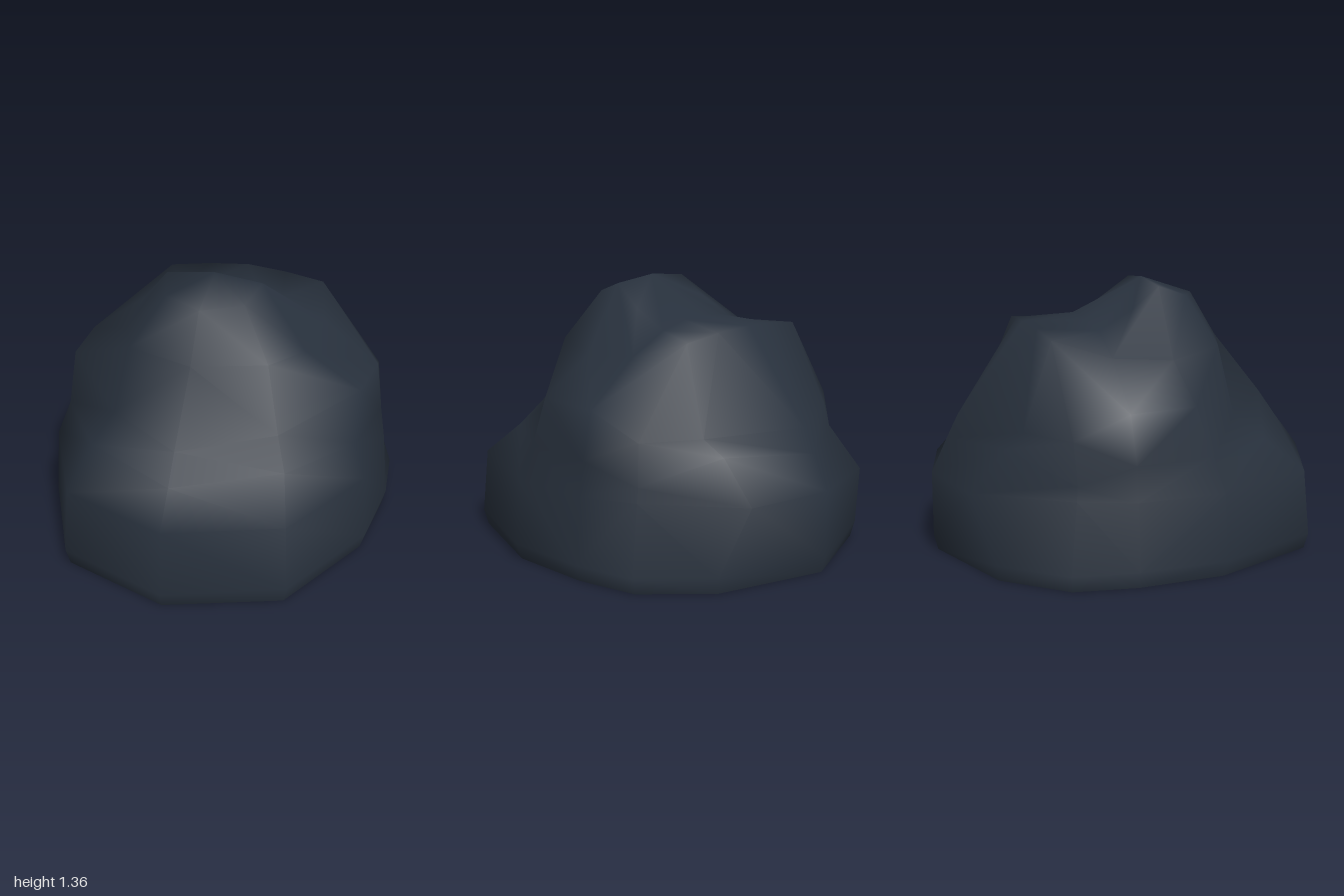
import * as THREE from 'three';

// Half cross-sections from the nose (+z) round to the back (-z): [x, y, z]; mirrored in x
const level = (y, pts) => pts.map(([x, z]) => [x, y, z]);
const foot = [
  level(0, [[0, 1.01], [0.55, 0.81], [0.815, 0.26], [0.85, -0.18], [0.81, -0.495], [0.55, -0.785], [0, -0.98]]),
  level(0.08, [[0, 1.04], [0.567, 0.825], [0.84, 0.27], [0.87, -0.18], [0.835, -0.505], [0.57, -0.8], [0, -1]]),
  level(0.41, [[0, 1.01], [0.55, 0.8], [0.82, 0.26], [0.84, -0.18], [0.74, -0.45], [0.45, -0.895], [0, -1]]),
];
const waist = [
  [[0, 0.58, 0.88], [0.49, 0.58, 0.6], [0.76, 0.58, 0.22], [0.815, 0.58, -0.18],
    [0.72, 0.48, -0.44], [0.43, 0.61, -0.715], [0, 0.58, -0.92]],
  [[0, 0.72, 0.78], [0.42, 0.7, 0.46], [0.755, 0.83, 0.13], [0.78, 0.82, -0.2],
    [0.745, 0.7, -0.465], [0.49, 0.7, -0.64], [0, 0.7, -0.86]],
];
const crown = [
  [[0, 1.04, 0.52], [0.35, 1.04, 0.4], [0.47, 1.0, 0.12], [0.49, 1.03, -0.2],
    [0.42, 1.12, -0.48], [0.21, 1.145, -0.5], [0, 1.155, -0.52]],
  [[0, 1.27, 0.38], [0.2, 1.28, 0.28], [0.245, 1.335, 0.12], [0.26, 1.23, -0.02],
    [0.27, 1.13, -0.2], [0.13, 1.17, -0.22], [0, 1.18, -0.22]],
];

// Skin mirrored rings into one smooth shell, open underneath
function skin(halves, top) {
  const pos = [], index = [];
  for (const half of halves) {
    const mirror = half.slice(1, -1).reverse().map(([x, y, z]) => [-x, y, z]);
    for (const p of [...half, ...mirror]) pos.push(...p);
  }
  const n = 12, last = (halves.length - 1) * n;
  for (let r = 0; r < last; r += n) {
    for (let i = 0; i < n; i++) {
      const a = r + i, b = r + (i + 1) % n, c = b + n, d = a + n;
      // Diagonals follow the ridges, the same on both halves
      const rising = i < 6 ? i === 3 : i !== 8;
      if (rising) index.push(a, b, c, a, c, d);
      else index.push(a, b, d, b, c, d);
    }
  }
  const apex = pos.length / 3;
  pos.push(...top);
  for (let i = 0; i < n; i++) index.push(apex, last + i, last + (i + 1) % n);
  const geo = new THREE.BufferGeometry();
  geo.setAttribute('position', new THREE.Float32BufferAttribute(pos, 3));
  geo.setIndex(index);
  geo.computeVertexNormals();
  return geo;
}

export function createModel() {
  const group = new THREE.Group();
  group.name = 'boulder';
  const slate = new THREE.MeshStandardMaterial({ color: 0x28313d, side: THREE.DoubleSide });
  slate.name = 'dark slate';

  const rock = new THREE.Mesh(skin([...foot, ...waist, ...crown], [0, 1.36, 0.11]), slate);
  rock.name = 'rock';
  rock.rotation.y = 0.62; // symmetry plane is turned from the front
  rock.position.set(0.013, 0, -0.009);
  group.add(rock);
  return group;
}
